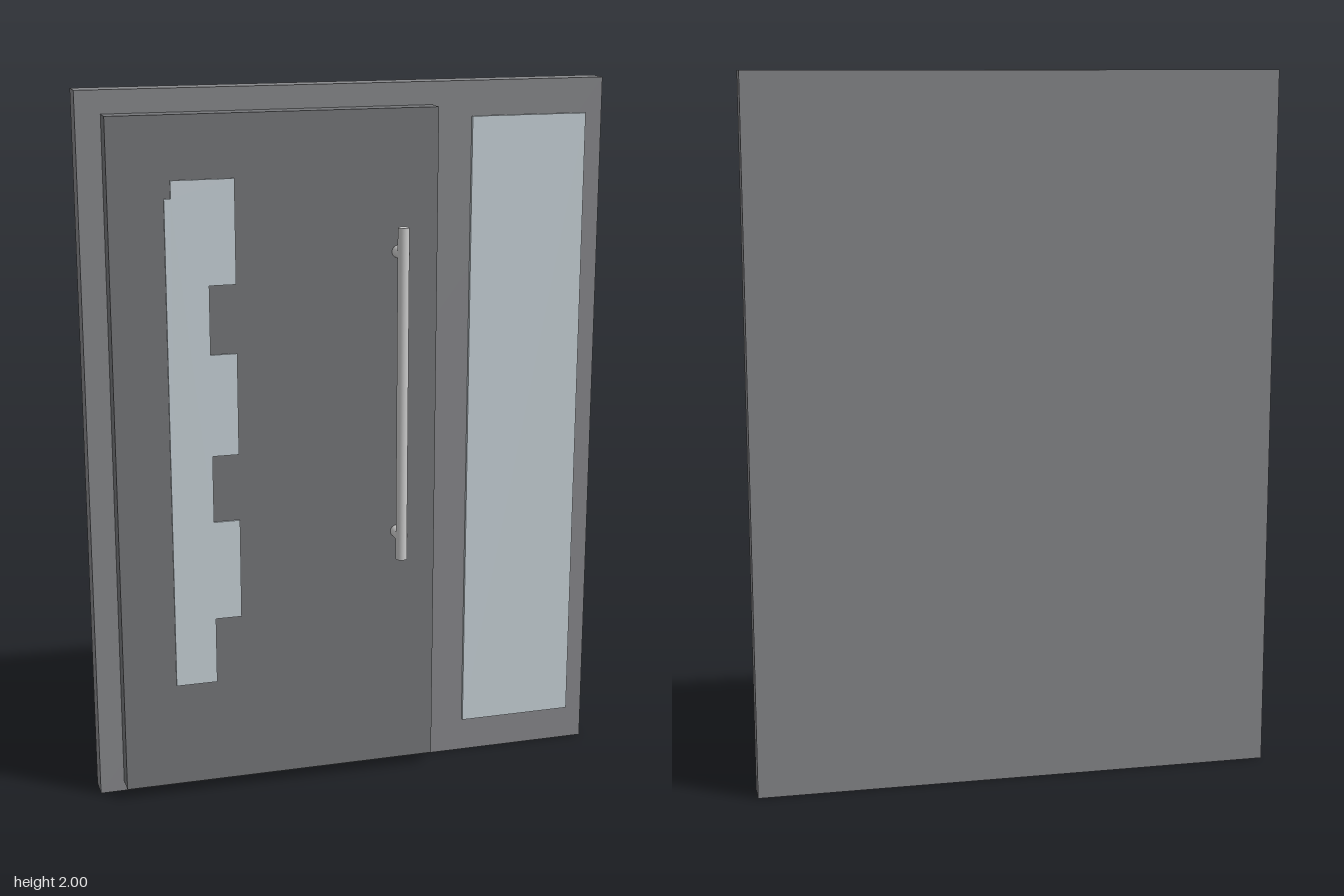
import * as THREE from 'three';

const material = (color) => new THREE.MeshStandardMaterial({ color });
const frameMat = material(0x87888b);
const doorMat = material(0x757679);
const glassMat = material(0xc9d3d9);
const metalMat = material(0xcccccc);

// Box given by its limits on each axis
function slab(name, [x0, x1], [y0, y1], [z0, z1], mat) {
  const mesh = new THREE.Mesh(new THREE.BoxGeometry(x1 - x0, y1 - y0, z1 - z0), mat);
  mesh.position.set((x0 + x1) / 2, (y0 + y1) / 2, (z0 + z1) / 2);
  mesh.name = name;
  return mesh;
}

// Stepped pane: a tall strip with three blocks projecting to one side
function steppedPane() {
  const left = -0.522, inner = -0.405, outer = -0.331;
  const points = [[left, 0.334], [inner, 0.334]];
  for (let i = 0; i < 3; i++) {
    const y0 = 0.525 + i * 0.477, y1 = y0 + 0.286;
    points.push([inner, y0], [outer, y0], [outer, y1]);
    if (i < 2) points.push([inner, y1]);
  }
  // Small notch in the top corner
  points.push([-0.504, 1.765], [-0.504, 1.717], [left, 1.717]);
  const shape = new THREE.Shape(points.map(([x, y]) => new THREE.Vector2(x, y)));
  const geometry = new THREE.ExtrudeGeometry(shape, { depth: 0.012, bevelEnabled: false });
  const mesh = new THREE.Mesh(geometry, glassMat);
  mesh.position.z = 0.022;
  mesh.name = 'doorGlass';
  return mesh;
}

// Long upright bar on two round standoffs
function pullHandle() {
  const handle = new THREE.Group();
  handle.name = 'pullHandle';
  const bar = new THREE.Mesh(new THREE.CylinderGeometry(0.016, 0.016, 0.95, 24), metalMat);
  bar.position.set(0.125, 1.146, 0.084);
  bar.name = 'handleBar';
  handle.add(bar);
  for (const y of [0.737, 1.546]) {
    const standoff = new THREE.Mesh(new THREE.CylinderGeometry(0.018, 0.018, 0.055, 24), metalMat);
    standoff.rotation.x = Math.PI / 2;
    standoff.position.set(0.127, y, 0.0525);
    standoff.name = 'handleStandoff';
    handle.add(standoff);
  }
  return handle;
}

export function createModel() {
  const model = new THREE.Group();
  model.name = 'entranceDoor';
  model.add(
    slab('frame', [-0.74, 0.74], [0, 2], [-0.1, -0.03], frameMat),
    slab('doorLeaf', [-0.672, 0.24], [0.03, 1.937], [-0.03, 0.029], doorMat),
    slab('sideGlass', [0.355, 0.689], [0.1, 1.903], [-0.04, -0.02], glassMat),
    steppedPane(),
    pullHandle()
  );
  return model;
}
